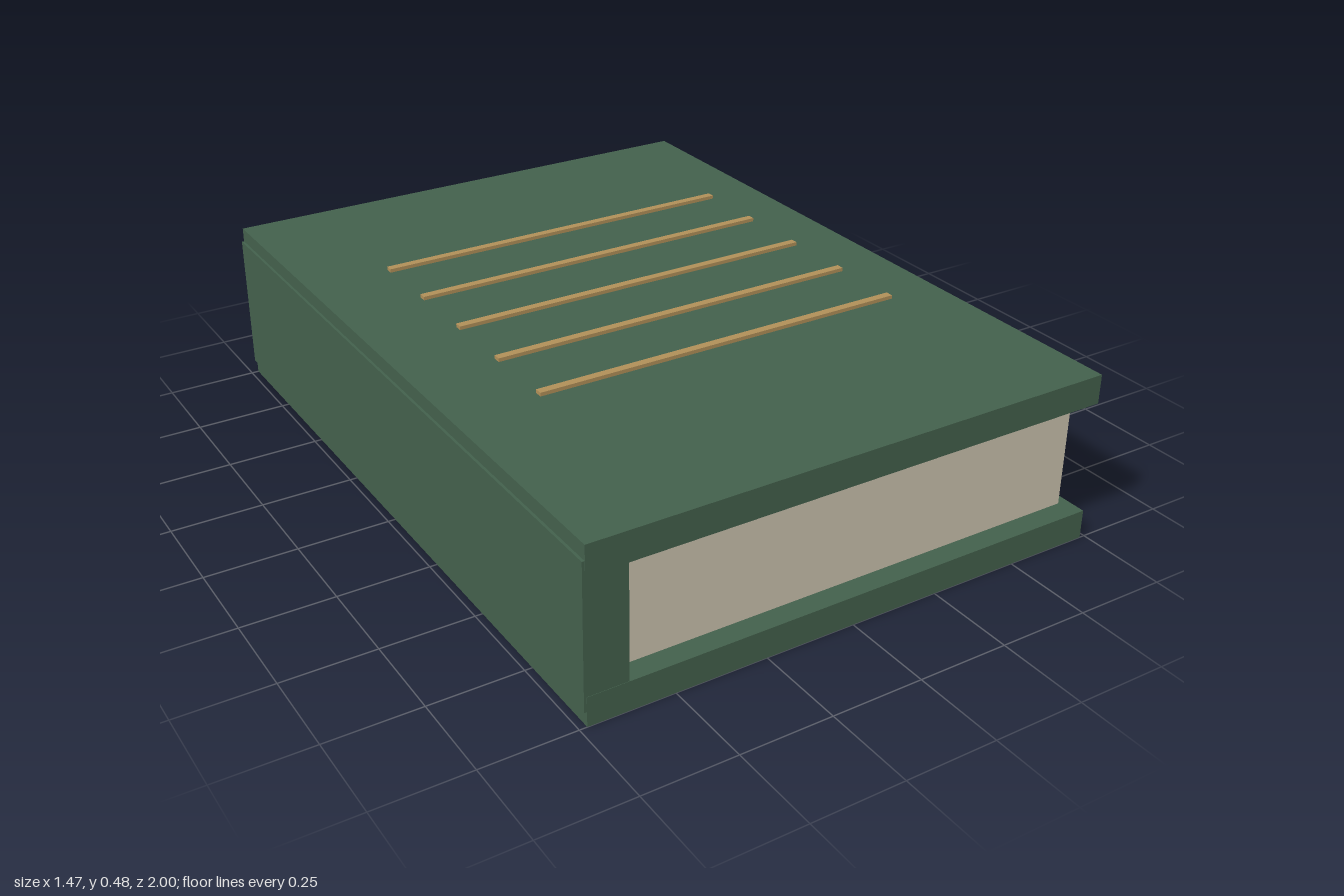
import * as THREE from 'three';

export function createModel() {
  const book = new THREE.Group();
  book.name = 'book';

  const cloth = new THREE.MeshStandardMaterial({ color: 0x43604c });
  const paper = new THREE.MeshStandardMaterial({ color: 0xcac2ae });
  const gold = new THREE.MeshStandardMaterial({ color: 0xb08f58 });

  // Box given by its extents along each axis
  function box(name, material, [x0, x1], [y0, y1], [z0, z1]) {
    const mesh = new THREE.Mesh(new THREE.BoxGeometry(x1 - x0, y1 - y0, z1 - z0), material);
    mesh.position.set((x0 + x1) / 2, (y0 + y1) / 2, (z0 + z1) / 2);
    mesh.name = name;
    book.add(mesh);
  }

  // Cover boards, with the spine standing slightly proud of them
  box('bottomCover', cloth, [-0.73, 0.735], [0, 0.08], [-1, 1]);
  box('topCover', cloth, [-0.73, 0.735], [0.39, 0.47], [-1, 1]);
  box('spine', cloth, [-0.737, -0.622], [0.04, 0.43], [-0.999, 0.999]);

  // Page block, inset from the cover edges
  box('pages', paper, [-0.65, 0.706], [0.075, 0.395], [-0.94, 0.94]);

  // Raised strips across the top cover
  for (let i = 0; i < 5; i++) {
    const z = -0.49 + i * 0.215;
    box(`coverStrip${i + 1}`, gold, [-0.493, 0.58], [0.46, 0.48], [z - 0.011, z + 0.011]);
  }

  return book;
}
